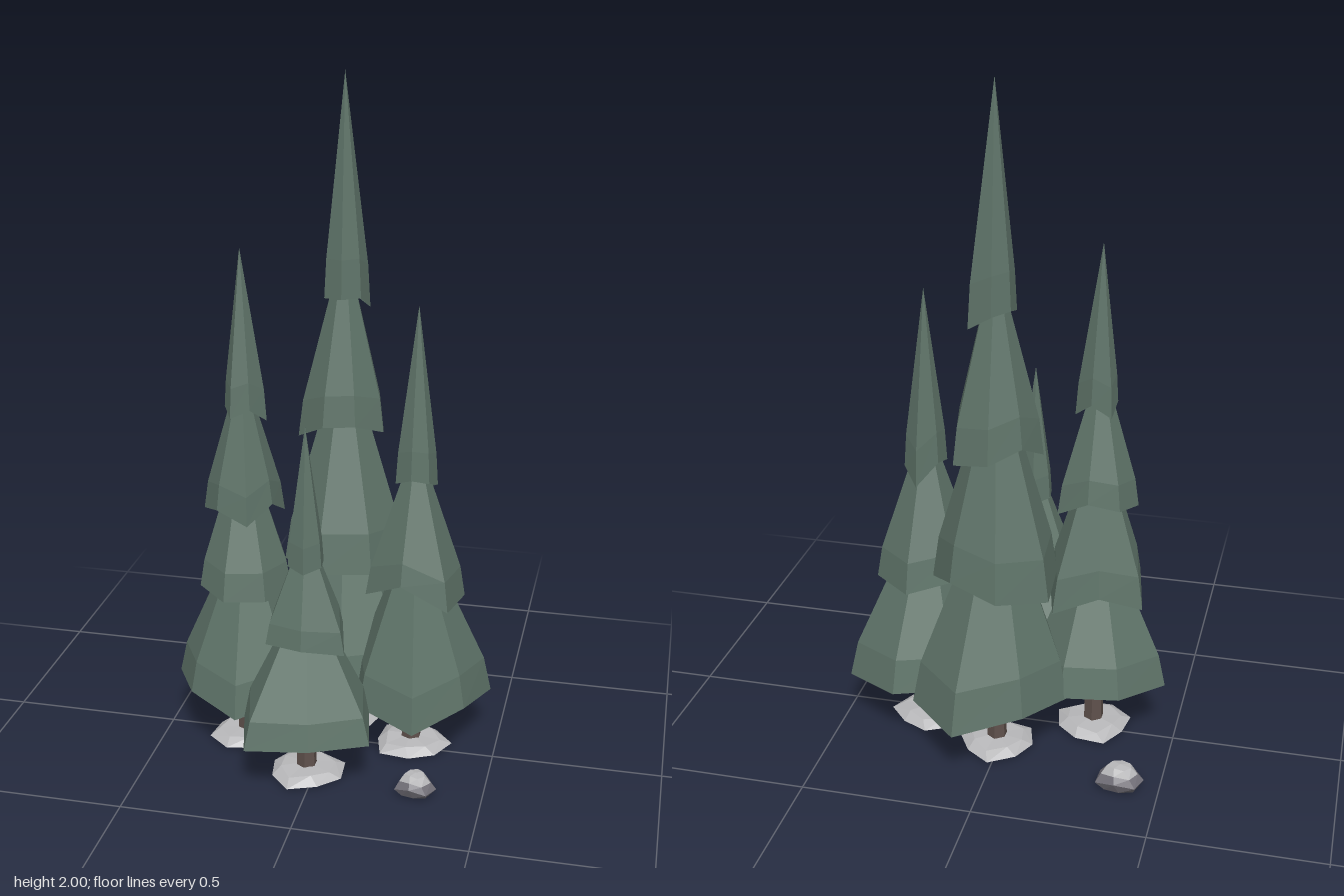
import * as THREE from 'three';

const paint = (name, color, side = THREE.FrontSide) => {
  const m = new THREE.MeshStandardMaterial({ color, flatShading: true, side });
  m.name = name;
  return m;
};

// Each tier: rim height, apex height, first angle in degrees, corner radii
const TREES = [
  { name: 'tallTree', x: 0.012, z: -0.14, tiers: [
    [0.18, 0.88, -74, [0.26, 0.25, 0.24, 0.22, 0.22, 0.215, 0.2]],
    [0.56, 1.24, -103, [0.18, 0.166, 0.19, 0.18, 0.18, 0.18, 0.19]],
    [0.97, 1.53, -42, [0.135, 0.123, 0.107, 0.11, 0.134, 0.11, 0.125]],
    [1.36, 2.0, -33, [0.08, 0.06, 0.06, 0.062, 0.055, 0.06]]] },
  { name: 'rightTree', x: -0.251, z: 0.025, tiers: [
    [0.19, 0.72, 84, [0.23, 0.19, 0.22, 0.195, 0.2, 0.2, 0.2]],
    [0.49, 0.99, 205, [0.165, 0.14, 0.17, 0.14, 0.14, 0.14, 0.135]],
    [0.76, 1.2, 174, [0.117, 0.11, 0.1, 0.125, 0.1, 0.12, 0.105]],
    [1.05, 1.53, 230, [0.065, 0.05, 0.07, 0.05, 0.06, 0.05]]] },
  { name: 'leftTree', x: 0.247, z: -0.03, tiers: [
    [0.18, 0.75, 286, [0.213, 0.245, 0.195, 0.24, 0.2, 0.18, 0.195]],
    [0.51, 0.99, 280, [0.153, 0.153, 0.15, 0.115, 0.144, 0.14]],
    [0.85, 1.38, 277, [0.083, 0.065, 0.055, 0.05, 0.06, 0.055]]] },
  { name: 'frontTree', x: -0.025, z: 0.198, tiers: [
    [0.18, 0.61, 24, [0.224, 0.197, 0.233, 0.186, 0.17, 0.165, 0.19]],
    [0.44, 0.79, 264, [0.14, 0.115, 0.135, 0.12, 0.125, 0.126]],
    [0.67, 1.085, 264, [0.06, 0.055, 0.055, 0.06, 0.055, 0.055]]] },
];

// Stitches stacked rings (listed bottom to top, angles increasing) into one skin
function loft(rings) {
  const n = rings[0].length, index = [];
  for (let k = 0; k < rings.length - 1; k++) {
    for (let i = 0; i < n; i++) {
      const a = k * n + i, b = k * n + (i + 1) % n;
      index.push(a, a + n, b, b, a + n, b + n);
    }
  }
  const g = new THREE.BufferGeometry();
  g.setAttribute('position', new THREE.Float32BufferAttribute(rings.flat(2), 3));
  g.setIndex(index);
  const flat = g.toNonIndexed();
  flat.computeVertexNormals();
  return flat;
}

// Ring of corners; farther corners droop lower
function ring(radii, start, scale, y, droop = 0) {
  const mean = radii.reduce((s, r) => s + r, 0) / radii.length;
  return radii.map((r, i) => {
    const a = THREE.MathUtils.degToRad(start + i * 360 / radii.length);
    return [r * scale * Math.cos(a), y - (r - mean) * droop, r * scale * Math.sin(a)];
  });
}

// Hollow bell-shaped skirt of needles; upper skirts have more ragged rims
function tierGeometry([y, top, start, radii], level) {
  const h = top - y, droop = level ? 2.2 : 0.6;
  return loft([
    ring(radii, start, 1, y, droop),
    ring(radii, start, 0.9, y + h * 0.18, droop * 0.7),
    ring(radii, start, 0, top),
  ]);
}

export function createModel() {
  const needles = paint('needle green', 0x5f7469, THREE.DoubleSide);
  const bark = paint('bark brown', 0x5f514c);
  const pale = paint('pale stone', 0xb8b8ba);
  const stone = paint('dark stone', 0x716f77);
  const model = new THREE.Group();
  model.name = 'pineGrove';

  const add = (parent, name, geometry, material) => {
    const m = new THREE.Mesh(geometry, material);
    m.name = name;
    parent.add(m);
    return m;
  };

  // Trees: trunk, stacked skirts and a low mound at the foot
  TREES.forEach((t, k) => {
    const tree = new THREE.Group();
    tree.name = t.name;
    tree.position.set(t.x, 0, t.z);
    const trunk = add(tree, 'trunk', new THREE.CylinderGeometry(0.024, 0.031, 0.4, 6), bark);
    trunk.position.y = 0.2;
    t.tiers.forEach((tier, i) => add(tree, `needleTier${i + 1}`, tierGeometry(tier, i), needles));
    const edge = Array.from({ length: 8 }, (_, i) => 0.112 + 0.012 * Math.sin(i * 2.4 + k * 1.7));
    add(tree, 'groundMound', loft([
      ring(edge, k * 20, 0, 0.003),
      ring(edge, k * 20, 1, 0.005),
      ring(edge, k * 20 + 8, 0.72, 0.024, 0.3),
      ring(edge, k * 20, 0, 0.03),
    ]), pale);
    model.add(tree);
  });

  // Boulders: angular dark body, longer than deep, with a flat pale cap
  [['backRock', -0.388, -0.285, 0.069, 0.76, 0.078, 10], ['frontRock', 0.308, 0.25, 0.055, 0.92, 0.07, 40]]
    .forEach(([name, x, z, r, depth, h, start]) => {
      const rock = new THREE.Group();
      rock.name = name;
      rock.position.set(x, 0, z);
      rock.scale.z = depth;
      const edge = Array.from({ length: 7 }, (_, i) => r * (1 + 0.13 * Math.sin(i * 2.9 + start)));
      const shoulder = ring(edge, start + 18, 0.76, h * 0.68, 0.5);
      add(rock, 'rockBody', loft([
        ring(edge, start, 0, 0.002),
        ring(edge, start, 0.72, 0.004),
        ring(edge, start + 12, 1.02, h * 0.4, 1),
        shoulder,
      ]), stone);
      add(rock, 'rockCap', loft([
        shoulder,
        ring(edge, start + 30, 0.5, h * 0.95, 0.2),
        ring(edge, start, 0, h),
      ]), pale);
      model.add(rock);
    });

  return model;
}
